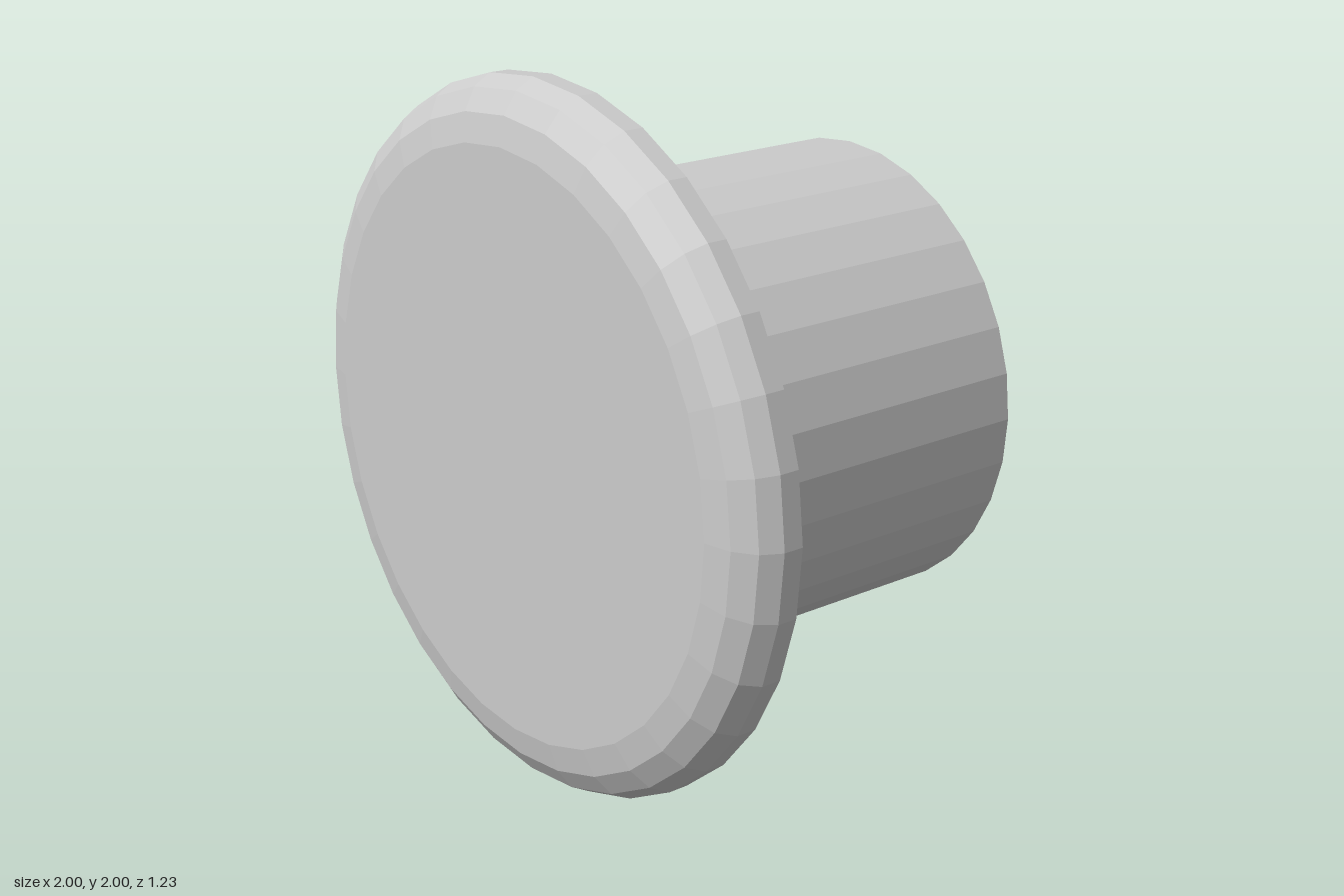
import * as THREE from 'three';

const SIDES = 32;

// Faceted solid of revolution about the z axis; profile is [radius, z] from back to front
function turned(name, profile, material) {
  const points = profile.map(([r, z]) => new THREE.Vector2(r, z));
  const geometry = new THREE.LatheGeometry(points, SIDES);
  geometry.rotateX(Math.PI / 2);
  const mesh = new THREE.Mesh(geometry, material);
  mesh.name = name;
  return mesh;
}

export function createModel() {
  const group = new THREE.Group();
  group.name = 'knob';
  const material = new THREE.MeshStandardMaterial({ color: 0xcccccc, flatShading: true });

  // Straight stem with a closed back end
  const stem = turned('stem', [[0, -0.613], [0.67, -0.613], [0.67, 0.255]], material);

  // Flared head with a rounded rim and a flat front face
  const head = turned('head', [
    [0.67, 0.255], [1, 0.445], [1, 0.503], [0.97, 0.558],
    [0.91, 0.597], [0.83, 0.613], [0, 0.613],
  ], material);

  group.add(stem, head);
  group.children.forEach((part) => { part.position.y = 1; });
  return group;
}
